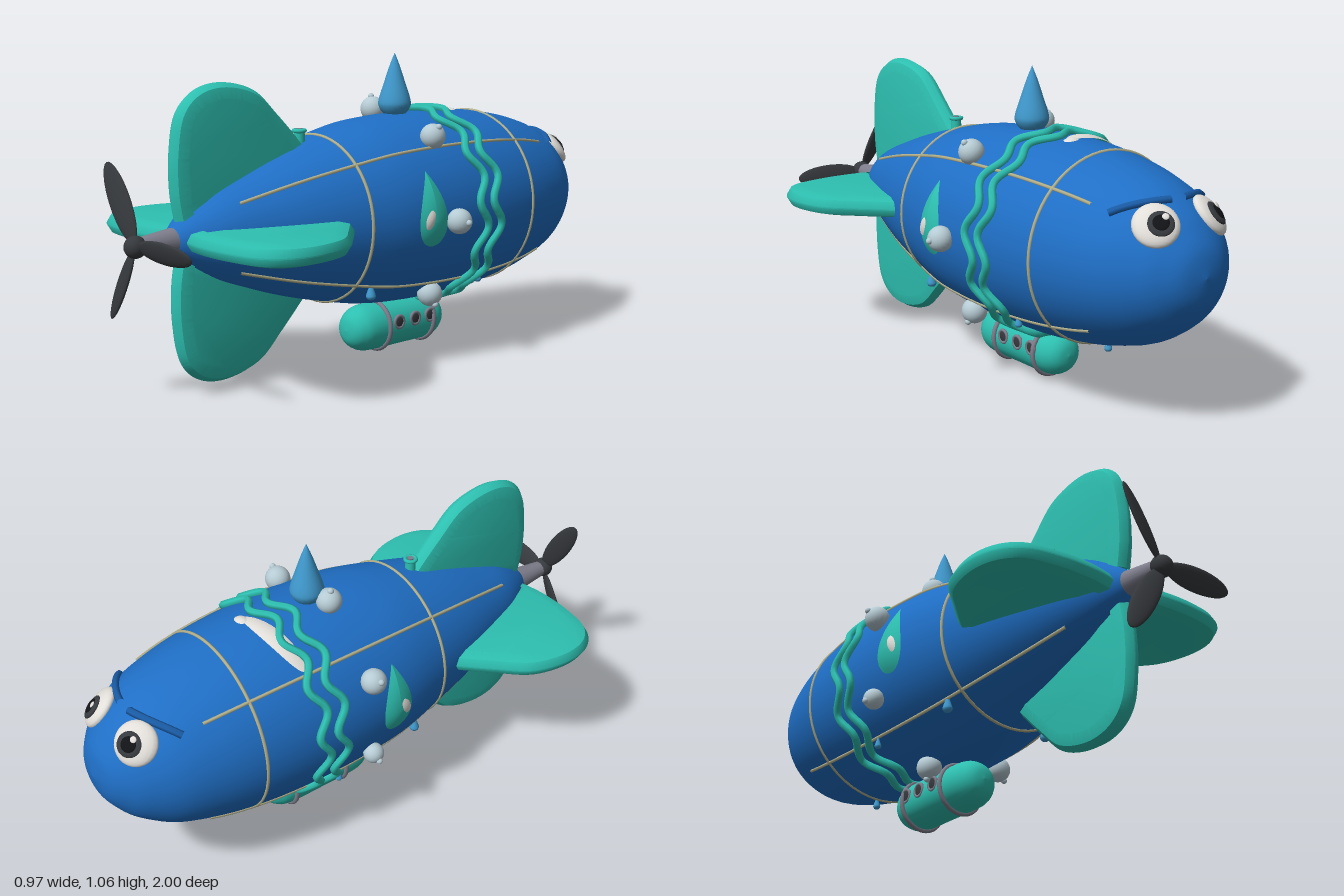
import * as THREE from 'three';
import { toCreasedNormals } from 'three/addons/utils/BufferGeometryUtils.js';

const mat = (name, color, side = THREE.FrontSide) => {
  const m = new THREE.MeshStandardMaterial({ color, side });
  m.name = name;
  return m;
};
const AXIS = 0.52;
const V3 = (x, y, z) => new THREE.Vector3(x, y, z);
const V2 = ([x, y]) => new THREE.Vector2(x, y);

// hull radius along z, nose at -1
const hullProfile = new THREE.SplineCurve([
  [0, -1], [0.08, -0.985], [0.138, -0.95], [0.19, -0.9], [0.252, -0.8], [0.292, -0.67], [0.316, -0.54],
  [0.33, -0.4], [0.335, -0.25], [0.332, -0.1], [0.318, 0.07], [0.284, 0.23], [0.24, 0.4], [0.19, 0.55],
  [0.13, 0.7], [0.045, 0.82], [0, 0.83],
].map(V2)).getPoints(80);

function hullRadius(z) {
  for (let i = 1; i < hullProfile.length; i++) {
    const a = hullProfile[i - 1], b = hullProfile[i];
    if (z <= b.y) return a.x + (b.x - a.x) * (z - a.y) / (b.y - a.y);
  }
  return 0;
}
// point on the hull at station z and angle a (0 = +x, PI/2 = top)
function onHull(z, a, lift = 0) {
  const r = hullRadius(z) + lift;
  return V3(Math.cos(a) * r, AXIS + Math.sin(a) * r, z);
}

export function createModel() {
  const root = new THREE.Group();
  root.name = 'airship';
  const blue = mat('hull blue', 0x1f6fc6);
  const browBlue = mat('brow blue', 0x1a5da8);
  const teal = mat('teal', 0x2dbfb0, THREE.DoubleSide);
  const sky = mat('droplet blue', 0x3f98cc);
  const dark = mat('charcoal', 0x36393d);
  const black = mat('pupil black', 0x121316);
  const grey = mat('metal grey', 0x7d7d8c);
  const rope = mat('rope beige', 0xb4b18c);
  const white = mat('off white', 0xe2dfda, THREE.DoubleSide);
  const pearl = mat('pearl', 0xb6cbd4);

  const add = (name, geo, material, parent = root) => {
    const m = new THREE.Mesh(geo, material);
    m.name = name;
    parent.add(m);
    return m;
  };
  const tube = (name, pts, r, material, closed = false, seg = 60) =>
    add(name, new THREE.TubeGeometry(new THREE.CatmullRomCurve3(pts, closed), seg, r, 6, closed), material);
  const ball = (name, r, material, parent, pos, scale = [1, 1, 1]) => {
    const m = add(name, new THREE.SphereGeometry(r, 20, 14), material, parent);
    m.position.set(...pos);
    m.scale.set(...scale);
    return m;
  };

  // hull
  const hull = add('hull', new THREE.LatheGeometry(hullProfile, 48).rotateX(Math.PI / 2), blue);
  hull.position.y = AXIS;

  // seams: two hoops and four long ropes
  for (const z of [-0.54, 0.225])
    add('hoopSeam', new THREE.TorusGeometry(hullRadius(z), 0.006, 6, 64), rope).position.set(0, AXIS, z);
  for (let k = 0; k < 4; k++) {
    const pts = [];
    for (let i = 0; i <= 24; i++) pts.push(onHull(-0.7 + 1.34 * i / 24, Math.PI / 4 + k * Math.PI / 2));
    tube('longSeam', pts, 0.006, rope);
  }

  // two wavy bands round the hull
  for (const z of [-0.325, -0.255]) {
    const pts = [];
    for (let i = 0; i < 96; i++) {
      const a = i / 96 * Math.PI * 2;
      pts.push(onHull(z + 0.022 * Math.sin(a * 12), a, 0.008));
    }
    tube('wavyBand', pts, 0.014, teal, true, 240);
  }

  // four tail fins
  const finShape = new THREE.Shape();
  finShape.moveTo(0.81, 0.06);
  finShape.lineTo(0.3, 0.1);
  finShape.lineTo(0.285, 0.26);
  finShape.splineThru([[0.39, 0.365], [0.49, 0.452], [0.62, 0.485], [0.73, 0.465], [0.8, 0.395], [0.825, 0.27], [0.825, 0.15], [0.81, 0.06]].map(V2));
  const finGeo = toCreasedNormals(new THREE.ExtrudeGeometry(finShape, {
    depth: 0.004, bevelThickness: 0.035, bevelSize: 0.05, bevelOffset: -0.05, bevelSegments: 2, curveSegments: 40,
  }).translate(0, 0, -0.002).rotateY(-Math.PI / 2), 0.75);
  for (let k = 0; k < 4; k++) {
    const fin = add('tailFin', finGeo, teal);
    fin.position.y = AXIS;
    fin.rotation.z = k * Math.PI / 2;
  }

  // propeller
  const shaft = add('propellerShaft', new THREE.CylinderGeometry(0.028, 0.046, 0.15, 20).rotateX(Math.PI / 2), grey);
  shaft.position.set(0, AXIS, 0.87);
  const propeller = new THREE.Group();
  propeller.name = 'propeller';
  propeller.position.set(0, AXIS, 0.96);
  root.add(propeller);
  ball('propellerHub', 0.036, dark, propeller, [0, 0, 0]);
  for (let k = 0; k < 3; k++) {
    const arm = new THREE.Group();
    arm.name = 'bladeArm';
    arm.rotation.z = k * Math.PI * 2 / 3;
    propeller.add(arm);
    ball('blade', 1, dark, arm, [0.15, 0, 0], [0.137, 0.04, 0.011]).rotation.x = 0.35;
  }

  // gondola with straps and portholes
  const gondola = new THREE.Group();
  gondola.name = 'gondola';
  gondola.position.set(0, 0.1, -0.138);
  root.add(gondola);
  const pod = new THREE.SplineCurve([[0, -0.224], [0.04, -0.216], [0.068, -0.19], [0.083, -0.14], [0.084, 0],
    [0.083, 0.14], [0.068, 0.19], [0.04, 0.216], [0, 0.224]].map(V2)).getPoints(40);
  add('gondolaPod', new THREE.LatheGeometry(pod, 28).rotateX(Math.PI / 2), teal, gondola);
  for (const z of [-0.132, 0.088])
    add('strap', new THREE.TorusGeometry(0.086, 0.009, 8, 36), grey, gondola).position.z = z;
  for (const s of [-1, 1]) for (const z of [-0.115, -0.04, 0.04]) {
    const port = new THREE.Group();
    port.name = 'porthole';
    port.position.set(s * 0.081, 0.017, z);
    port.rotation.y = s * Math.PI / 2;
    gondola.add(port);
    add('portholeRim', new THREE.TorusGeometry(0.022, 0.006, 8, 20), grey, port);
    ball('portholeGlass', 0.021, dark, port, [0, 0, 0], [1, 1, 0.25]);
  }

  // eyes and brows
  for (const s of [-1, 1]) {
    const a = Math.PI / 2 - s * 0.61;
    const eye = new THREE.Group();
    eye.name = 'eye';
    eye.position.copy(onHull(-0.89, a, -0.004));
    const n = V3(Math.cos(a), Math.sin(a), -0.8);
    eye.lookAt(eye.position.clone().add(n));
    root.add(eye);
    ball('eyeWhite', 0.074, white, eye, [0, 0, 0], [1, 1, 0.4]);
    ball('iris', 0.042, dark, eye, [s * 0.012, -0.006, 0.025], [1, 1, 0.25]);
    ball('pupil', 0.026, black, eye, [s * 0.012, -0.006, 0.033], [1, 1, 0.2]);
    ball('eyeGlint', 0.011, white, eye, [s * 0.012 + 0.014, 0.012, 0.037], [1, 1, 0.35]);
    const pts = [];
    for (let i = 0; i <= 10; i++) {
      const t = i / 10, x = 0.025 + 0.165 * t, z = -0.86 + 0.035 * t + 0.055 * t * t;
      pts.push(onHull(z, Math.PI / 2 - s * Math.asin(x / hullRadius(z)), 0.004));
    }
    tube('brow', pts, 0.013, browBlue, false, 20);
  }

  // thin domed patch laid on the hull; outline(t) gives [along z, round the hull]
  function patch(name, outline, z0, a0, lift, dome, material) {
    const pos = [], idx = [], N = 36, M = 6;
    for (let j = 0; j <= M; j++) for (let i = 0; i <= N; i++) {
      const f = j / M, [u, v] = outline(i / N * Math.PI * 2);
      const p = onHull(z0 + u * f, a0 + v * f / hullRadius(z0), lift + dome * (1 - f * f));
      pos.push(p.x, p.y, p.z);
      if (j < M && i < N) {
        const q = j * (N + 1) + i;
        idx.push(q, q + N + 1, q + 1, q + 1, q + N + 1, q + N + 2);
      }
    }
    const g = new THREE.BufferGeometry();
    g.setAttribute('position', new THREE.Float32BufferAttribute(pos, 3));
    g.setIndex(idx);
    g.computeVertexNormals();
    return add(name, g, material);
  }
  const ellipse = (a, b, rot) => t => {
    const x = a * Math.cos(t), y = b * Math.sin(t);
    return [x * Math.cos(rot) - y * Math.sin(rot), x * Math.sin(rot) + y * Math.cos(rot)];
  };

  // shine marks on top
  patch('longShine', ellipse(0.033, 0.145, -0.2), -0.355, Math.PI / 2 + 0.32, 0.004, 0.006, white);
  patch('smallShine', ellipse(0.02, 0.027, 0), -0.395, Math.PI / 2 - 0.09, 0.004, 0.006, white);

  // teardrop emblems on both flanks
  for (const s of [-1, 1]) {
    const a0 = s > 0 ? 0 : Math.PI;
    patch('teardrop', t => {
      const w = (1 - Math.cos(t)) / 2;
      return [0.083 * Math.sin(t) * Math.pow(w, 0.6), s * (0.045 + 0.13 * Math.cos(t))];
    }, -0.015, a0, 0.003, 0.014, teal);
    patch('teardropShine', ellipse(0.02, 0.034, s * 0.5), 0.008, a0 + s * 0.03, 0.014, 0.005, white);
  }

  // ring of pearls, each with a small knob
  for (let k = 0; k < 7; k++) {
    const a = (k * 360 / 7 - 1) * Math.PI / 180;
    const pearlGroup = new THREE.Group();
    pearlGroup.name = 'pearlLight';
    pearlGroup.position.copy(onHull(-0.113, a, 0.02));
    pearlGroup.rotation.z = a;
    root.add(pearlGroup);
    const r = k === 4 ? 0.036 : 0.044;
    ball('pearl', r, pearl, pearlGroup, [0, 0, 0]);
    ball('pearlKnob', 0.011, pearl, pearlGroup, [r, 0, 0]);
  }

  // large crest drop and small hanging drops
  const dropGeo = new THREE.LatheGeometry(new THREE.SplineCurve([[0, -0.25], [0.16, -0.21], [0.25, -0.09],
    [0.25, 0.03], [0.17, 0.28], [0.08, 0.55], [0, 0.75]].map(V2)).getPoints(24), 20);
  const drop = (name, x, y, z, h) => {
    const m = add(name, dropGeo, sky);
    m.position.set(x, y, z);
    m.scale.setScalar(h);
  };
  drop('crestDrop', 0, 0.896, -0.15, 0.225);
  for (const [x, y, z, h] of [[0.205, 0.275, 0.16, 0.065], [-0.21, 0.275, 0.16, 0.065], [0.215, 0.257, -0.36, 0.05],
    [-0.24, 0.25, -0.2, 0.045], [0, 0.185, -0.56, 0.05]]) drop('hangingDrop', x, y, z, h);

  // valve ahead of the upper fin
  add('valveStem', new THREE.CylinderGeometry(0.018, 0.02, 0.07, 16), teal).position.set(0, 0.79, 0.295);
  add('valveRim', new THREE.TorusGeometry(0.019, 0.007, 8, 20).rotateX(Math.PI / 2), teal).position.set(0, 0.825, 0.295);
  add('valveCap', new THREE.CylinderGeometry(0.011, 0.011, 0.008, 12), grey).position.set(0, 0.828, 0.295);

  return root;
}
